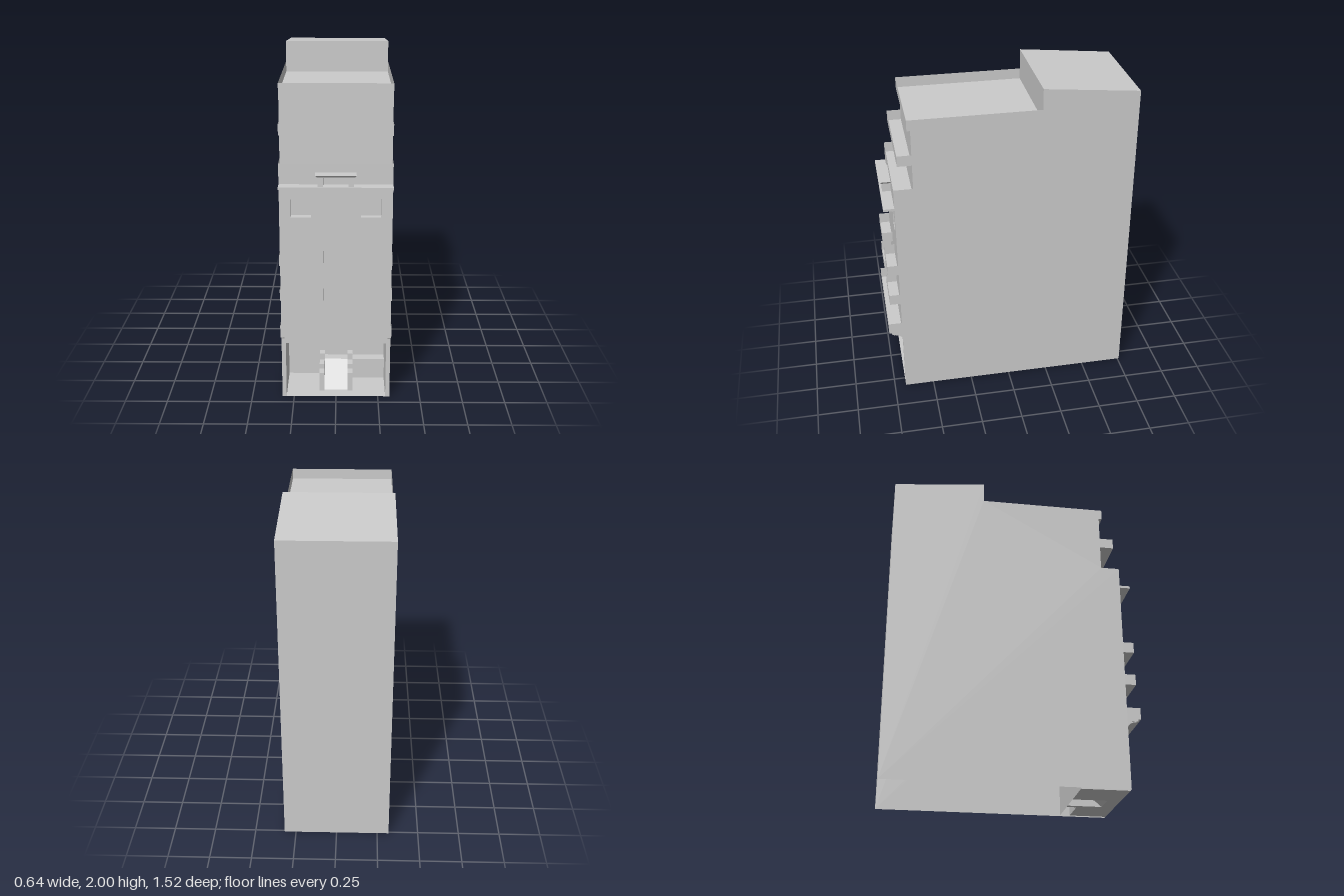
import * as THREE from 'three';

const material = new THREE.MeshStandardMaterial({ color: 0xcccccc, side: THREE.DoubleSide, flatShading: true });
const W = 0.32, FRONT = 0.68, UPPER = 0.565, BACK = -0.76;

const toShape = (pts) => new THREE.Shape(pts.map(([a, b]) => new THREE.Vector2(a, b)));
const rect = (x0, x1, y0, y1) => [[x0, y0], [x1, y0], [x1, y1], [x0, y1]];

export function createModel() {
  const root = new THREE.Group();

  const add = (name, geometry, parent = root) => {
    const mesh = new THREE.Mesh(geometry, material);
    mesh.name = name;
    parent.add(mesh);
    return mesh;
  };

  // Thin sheet following a (z, y) path, stretched from x0 to x1
  const strip = (name, path, x0, x1, parent) => {
    const pos = [];
    for (let i = 0; i + 1 < path.length; i++) {
      const [za, ya] = path[i], [zb, yb] = path[i + 1];
      pos.push(x0, ya, za, x1, ya, za, x1, yb, zb, x0, ya, za, x1, yb, zb, x0, yb, zb);
    }
    const g = new THREE.BufferGeometry();
    g.setAttribute('position', new THREE.Float32BufferAttribute(pos, 3));
    g.computeVertexNormals();
    return add(name, g, parent);
  };

  // Flat (z, y) outline standing at x
  const cap = (name, path, x, parent) =>
    add(name, new THREE.ShapeGeometry(toShape(path)).rotateY(-Math.PI / 2).translate(x, 0, 0), parent);

  // Solid (z, y) outline between x0 and x1
  const solid = (name, path, x0, x1, parent) =>
    add(name, new THREE.ExtrudeGeometry(Array.isArray(path) ? toShape(path) : path, { depth: x1 - x0, bevelEnabled: false, curveSegments: 8 })
      .rotateY(-Math.PI / 2).translate(x1, 0, 0), parent);

  const box = (name, x0, x1, y0, y1, z0, z1, parent) =>
    add(name, new THREE.BoxGeometry(x1 - x0, y1 - y0, z1 - z0)
      .translate((x0 + x1) / 2, (y0 + y1) / 2, (z0 + z1) / 2), parent);

  // Sheet with end walls; the last `open` sides of the outline are left out
  const trough = (name, path, x0, x1, open) => {
    const group = new THREE.Group();
    group.name = name;
    root.add(group);
    strip(name + 'Sheet', path.slice(0, path.length + 1 - open), x0, x1, group);
    for (const x of [x0, x1]) cap(name + 'End', path, x, group);
  };
  const balcony = (name, wall, z, y0, y1, x0, x1) =>
    trough(name, [[wall, y0], [z, y0], [z, y1], [wall, y1]], x0, x1, 2);

  // Building shell: side walls, back, roofs and the set-back upper storeys
  const profile = [[BACK, 0], [FRONT, 0], [FRONT, 1.445], [UPPER, 1.445], [UPPER, 1.81],
    [0.585, 1.81], [0.585, 1.875], [-0.19, 1.875], [-0.19, 2], [BACK, 1.945]];
  for (const x of [-W, W]) cap('sideWall', profile, x);
  strip('backAndRoof', [[BACK, 0], [BACK, 1.945], [-0.19, 2], [-0.19, 1.81], [0.585, 1.81], [0.585, 1.875]], -W, W);
  strip('upperFrontAndTerrace', [[UPPER, 1.81], [UPPER, 1.38], [FRONT, 1.38]], -W, W);

  // Street facade with the shop opening and two small windows
  const facade = toShape([[-W, 0], [-0.295, 0], [-0.295, 0.35], [0.295, 0.35], [0.295, 0], [W, 0], [W, 1.445], [-W, 1.445]]);
  const windows = [[-0.255, -0.14], [0.14, 0.255]];
  for (const [x0, x1] of windows) {
    facade.holes.push(new THREE.Path(rect(x0, x1, 1.13, 1.24).map(([x, y]) => new THREE.Vector2(x, y))));
    trough('windowRecess', [[FRONT, 1.13], [0.64, 1.13], [0.64, 1.24], [FRONT, 1.24]], x0, x1, 1);
  }
  add('facade', new THREE.ShapeGeometry(facade).translate(0, 0, FRONT));

  // Balconies
  balcony('upperBalcony', UPPER, 0.65, 1.595, 1.66, -W, W);
  for (const y of [0.65, 0.863]) {
    balcony('rightBalcony', FRONT, 0.745, y, y + 0.067, -W, -0.072);
    balcony('leftBalcony', FRONT, 0.745, y, y + 0.067, 0.072, W);
  }
  balcony('lowerBalcony', FRONT, 0.762, 0.43, 0.502, -W, W);

  // Cornice with the small hood above it
  box('cornice', -W, W, 1.31, 1.325, FRONT, 0.745);
  for (const s of [-1, 1]) box('hoodPier', s * 0.085 - 0.015, s * 0.085 + 0.015, 1.325, 1.38, FRONT, 0.732);
  box('hoodLintel', -0.1, 0.1, 1.376, 1.382, FRONT, 0.734);
  const hood = box('hoodTop', -0.115, 0.115, 1.38, 1.393, FRONT, 0.745);
  const hp = hood.geometry.attributes.position;
  for (let i = 0; i < hp.count; i++) {
    if (hp.getY(i) > 1.385) continue;
    hp.setX(i, Math.sign(hp.getX(i)) * 0.105);
    if (hp.getZ(i) > 0.7) hp.setZ(i, 0.735);
  }

  // Shop fascia strip and curved brackets
  box('fasciaStrip', -W, W, 0.417, 0.43, FRONT, 0.745);
  const bracket = new THREE.Shape();
  bracket.moveTo(FRONT, 0.417);
  bracket.lineTo(FRONT, 0.378);
  bracket.quadraticCurveTo(0.69, 0.41, 0.735, 0.412);
  bracket.lineTo(0.735, 0.417);
  for (const s of [-1, 1]) solid('bracket', bracket, s * 0.31 - 0.008, s * 0.31 + 0.008);

  // Shop room
  const RB = 0.39, RX = 0.295;
  strip('roomBackAndCeiling', [[RB, 0], [RB, 0.35], [FRONT, 0.35]], -RX, RX);
  for (const x of [-RX, RX]) cap('roomSide', [[RB, 0], [FRONT, 0], [FRONT, 0.35], [RB, 0.35]], x);
  const floor = [[-RX, -RB], [-RX, -FRONT], [RX, -FRONT], [RX, -0.45], [0.07, -0.45], [0.07, -0.6], [-0.07, -0.6], [-0.07, -RB]];
  add('roomFloor', new THREE.ShapeGeometry(toShape(floor)).rotateX(-Math.PI / 2));

  // Entrance ramp, landing and stepped side walls
  strip('entranceRamp', [[0.6, 0], [0.45, 0.13], [RB, 0.13]], -0.07, 0.07);
  strip('landing', [[0.45, 0], [0.45, 0.13], [RB, 0.13]], 0.1, RX);
  const stepped = [[RB, 0], [0.615, 0], [0.615, 0.12], [0.56, 0.12], [0.56, 0.15], [0.5, 0.15], [0.5, 0.19], [0.45, 0.19], [0.45, 0.13], [RB, 0.13]];
  for (const s of [-1, 1]) {
    solid('rampWall', stepped, s * 0.085 - 0.015, s * 0.085 + 0.015);
    box('doorPost', s * 0.085 - 0.015, s * 0.085 + 0.015, 0.13, 0.35, RB, 0.415);
  }
  return root;
}
